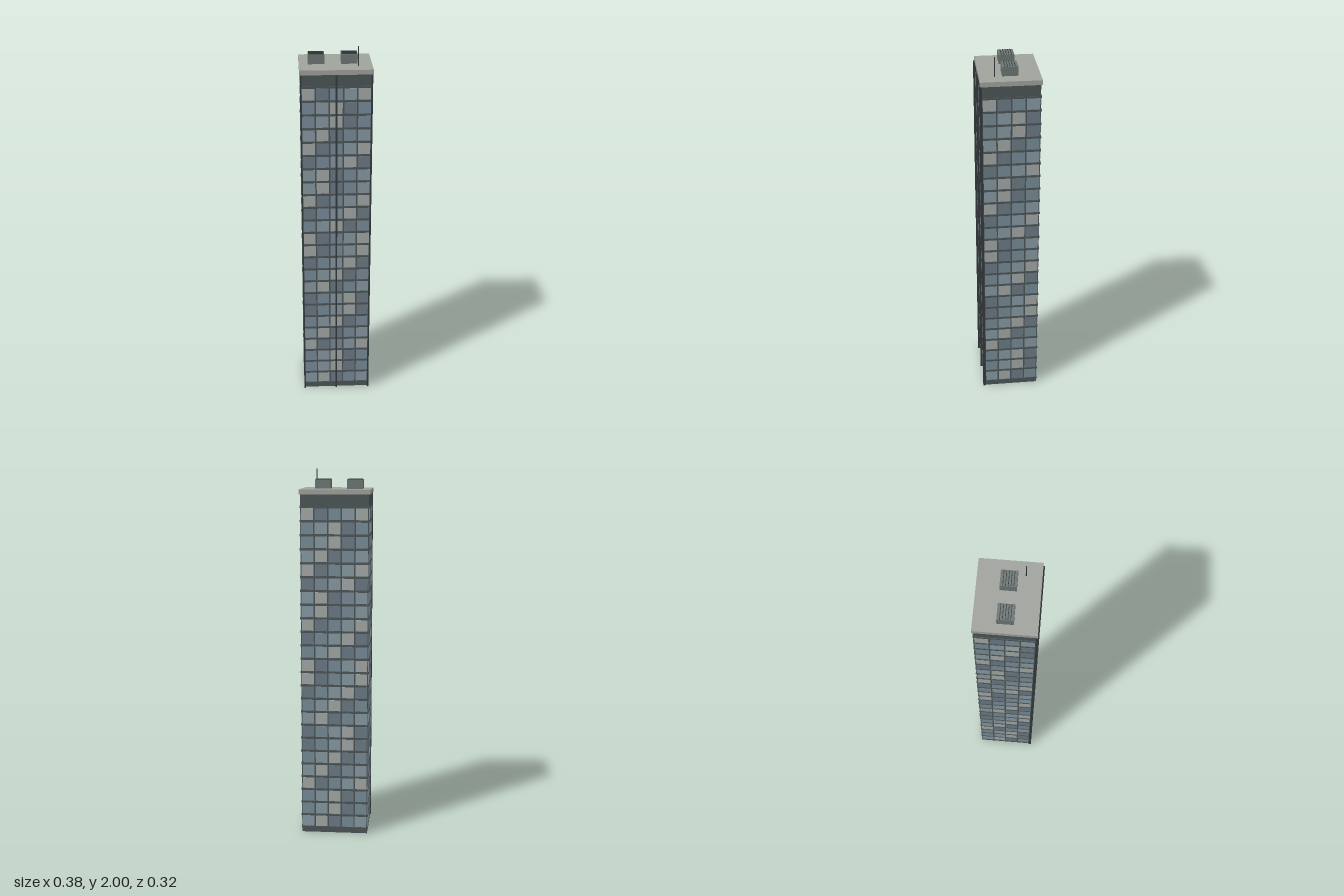
import * as THREE from 'three';
import { mergeGeometries } from 'three/addons/utils/BufferGeometryUtils.js';

const ROWS = 24, PITCH = 0.0741, FIRST = 0.066;
const HX = 0.181, HZ = 0.149, ZC = -0.005; // tower half sizes and z centre

const mat = (color) => new THREE.MeshStandardMaterial({ color });
const boxAt = (w, h, d, x, y, z) => new THREE.BoxGeometry(w, h, d).translate(x, y, z);

export function createModel() {
  const model = new THREE.Group();
  const frame = mat(0x4c5557), dark = mat(0x343a3d), concrete = mat(0xa0a29c);
  const metal = mat(0x6c7674);
  const add = (name, geometry, material, parent = model) => {
    const mesh = new THREE.Mesh(geometry, material);
    mesh.name = name;
    parent.add(mesh);
    return mesh;
  };

  // Tower core
  add('tower', boxAt(HX * 2, 1.873, HZ * 2, 0, 0.9365, ZC), frame);

  // Floor ledges between the window rows
  const ledges = [];
  for (let r = 0; r <= ROWS; r++) {
    ledges.push(boxAt(HX * 2 + 0.008, 0.011, HZ * 2 + 0.008, 0, FIRST + (r - 0.5) * PITCH, ZC));
  }
  add('floorLedges', mergeGeometries(ledges), frame);

  // Window panes on four sides, sorted by glass tint along diagonals
  const tints = [0xa3a9a6, 0x6b7a85, 0x788c98, 0x8799a2];
  const panes = tints.map(() => []);
  const sides = [
    { cols: 5, angle: 0, half: HX, out: HZ },
    { cols: 4, angle: Math.PI / 2, half: HZ, out: HX },
    { cols: 5, angle: Math.PI, half: HX, out: HZ },
    { cols: 4, angle: -Math.PI / 2, half: HZ, out: HX },
  ];
  sides.forEach(({ cols, angle, half, out }) => {
    const step = (half * 2) / cols;
    for (let r = 0; r < ROWS; r++) {
      for (let c = 0; c < cols; c++) {
        const tint = (ROWS - 1 - r + c + (r % 5 === 2 ? 1 : 0)) % 4;
        const pane = boxAt(step - 0.008, 0.061, 0.004,
          (c + 0.5) * step - half, FIRST + r * PITCH, out);
        panes[tint].push(pane.rotateY(angle).translate(0, 0, ZC));
      }
    }
  });
  const windows = new THREE.Group();
  windows.name = 'windows';
  model.add(windows);
  panes.forEach((list, i) => add('windowPanes', mergeGeometries(list), mat(tints[i]), windows));

  // Vertical fins on the front
  for (const x of [-0.182, 0, 0.182]) {
    add('frontFin', boxAt(0.008, 1.873, 0.015, x, 0.9365, 0.1505), dark);
  }

  // Roof slab
  add('roofSlab', boxAt(0.378, 0.025, 0.312, 0, 1.8855, ZC), concrete);

  // Rooftop cooling units with slatted tops
  for (const x of [-0.0995, 0.0725]) {
    const unit = new THREE.Group();
    unit.name = 'coolingUnit';
    unit.position.set(x, 1.898, -0.006);
    add('unitBody', boxAt(0.085, 0.048, 0.082, 0, 0.024, 0), metal, unit);
    for (let i = -2; i <= 2; i++) {
      add('unitSlat', boxAt(0.079, 0.004, 0.003, 0, 0.049, i * 0.013), dark, unit);
    }
    model.add(unit);
  }

  // Antenna
  add('antenna', new THREE.CylinderGeometry(0.0022, 0.003, 0.102, 8).translate(0.116, 1.949, 0.073), dark);

  return model;
}
